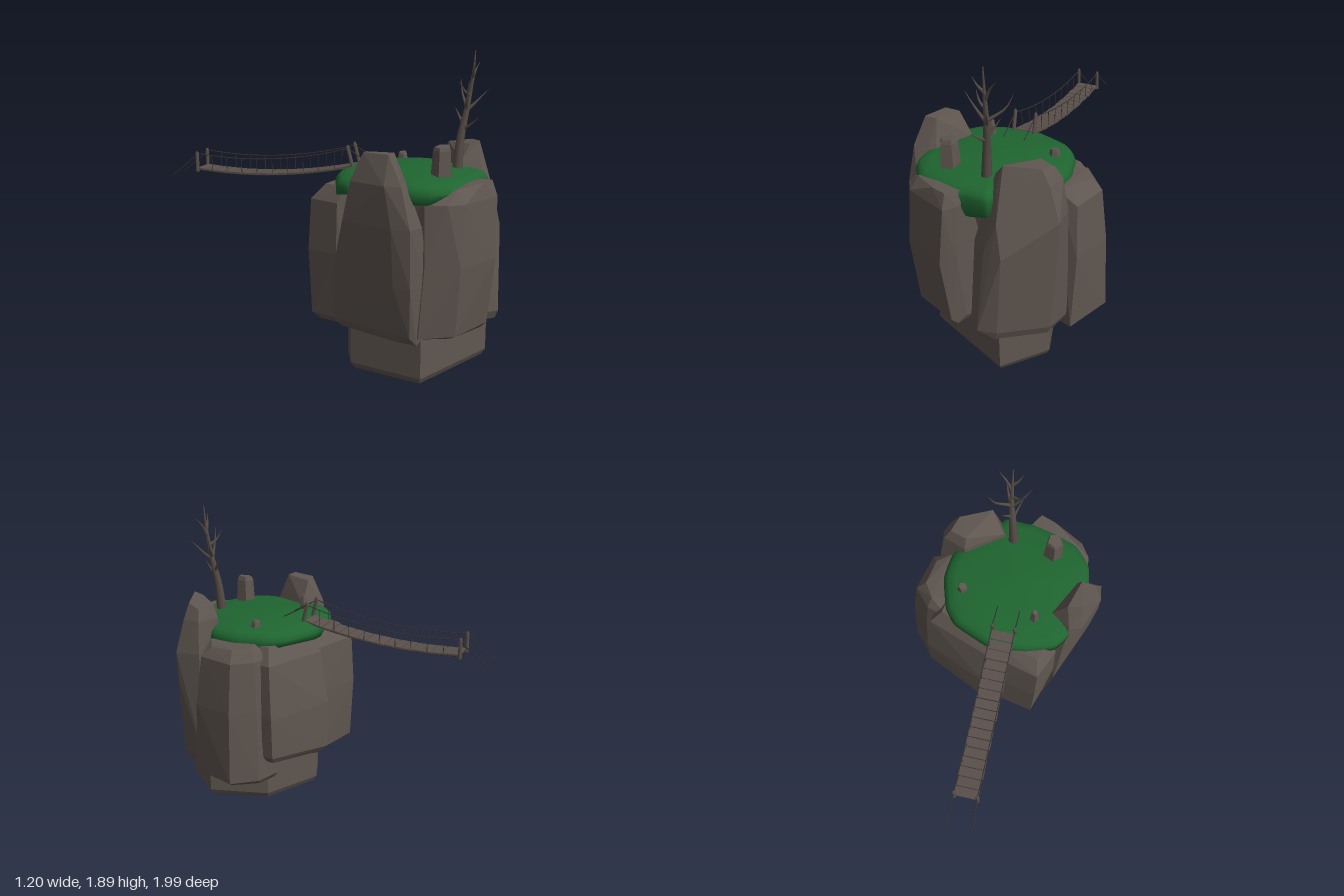
import * as THREE from 'three';
import { ConvexGeometry } from 'three/addons/geometries/ConvexGeometry.js';

const V = (x, y, z) => new THREE.Vector3(x, y, z);

export function createModel() {
  const model = new THREE.Group();
  const mat = (name, color, side = THREE.FrontSide) => {
    const m = new THREE.MeshStandardMaterial({ color, side });
    m.name = name;
    return m;
  };
  const stone = mat('stone', 0x5f5650);
  const grass = mat('grass', 0x1f6530, THREE.DoubleSide);
  const bark = mat('bark', 0x574d47);
  const wood = mat('wood', 0x5a504b);
  const rope = mat('rope', 0x3a3432);

  const add = (name, geometry, material, parent = model) => {
    const m = new THREE.Mesh(geometry, material);
    m.name = name;
    parent.add(m);
    return m;
  };

  // Faceted boulder: hull around rings of [height, [x, z, height offset], ...]
  const rock = (name, ...rings) => add(name, new ConvexGeometry(
    rings.flatMap(([y, ...pts]) => pts.map(([x, z, dy = 0]) => V(x, y + dy, z)))), stone);

  // Central plinth
  const foot = [[-0.29, 0.74], [0.34, 0.8], [0.44, 0.49], [0.2, 0.19], [-0.2, 0.15], [-0.34, 0.28]];
  rock('plinth', [0, [0.08, 0.48]],
    [0.035, ...foot.map(([x, z]) => [0.05 + (x - 0.05) * 0.95, 0.48 + (z - 0.48) * 0.94])],
    [0.07, ...foot], [0.5, ...foot]);
  rock('core', [0.4, [-0.28, 0.72], [0.32, 0.76], [0.4, 0.47], [0.2, 0.21], [-0.29, 0.25]],
    [1.14, [-0.28, 0.72], [0.24, 0.7], [0.36, 0.4], [0.25, 0.16], [-0.28, 0.18]]);

  // Cliff slabs around the plinth
  rock('frontSlab',
    [0.31, [-0.35, 0.78, 0.04], [-0.22, 0.88, 0.02], [0.1, 0.9], [0.1, 0.6], [-0.33, 0.6]],
    [0.35, [-0.38, 0.78], [-0.22, 0.92], [0.09, 0.94], [0.12, 0.85]],
    [0.75, [-0.36, 0.8], [-0.24, 0.955], [0.08, 0.99], [0.13, 0.9]],
    [1.1, [-0.34, 0.78], [-0.28, 0.89], [-0.2, 0.95], [0.11, 0.97], [0.14, 0.88]],
    [1.18, [-0.28, 0.78, -0.03], [-0.19, 0.89, -0.01], [0, 0.94, 0.01], [0.1, 0.94, 0.01], [0.13, 0.8], [-0.2, 0.65]]);
  rock('frontRightSlab',
    [0.31, [0.17, 0.83], [0.28, 0.89], [0.36, 0.85], [0.53, 0.6], [0.5, 0.44], [0.25, 0.45]],
    [0.36, [0.15, 0.84], [0.28, 0.91], [0.38, 0.85], [0.55, 0.6], [0.53, 0.43]],
    [0.85, [0.14, 0.78], [0.28, 0.84], [0.41, 0.83], [0.59, 0.57], [0.53, 0.43]],
    [1.05, [0.17, 0.7], [0.36, 0.81], [0.6, 0.57], [0.53, 0.43], [0.36, 0.44]],
    [1.25, [0.21, 0.67], [0.3, 0.745], [0.53, 0.57], [0.51, 0.45], [0.36, 0.45]],
    [1.34, [0.3, 0.67], [0.33, 0.72, 0.02], [0.48, 0.58], [0.48, 0.48, -0.02], [0.37, 0.48, -0.01]]);
  rock('backRightSlab',
    [0.25, [0.3, 0.42], [0.54, 0.42, 0.01], [0.53, 0.14, 0.02], [0.38, 0.06, 0.01], [0.24, 0.08]],
    [0.29, [0.57, 0.45], [0.56, 0.13], [0.4, 0.04], [0.24, 0.05]],
    [0.75, [0.58, 0.41], [0.55, 0.13], [0.4, 0.05], [0.24, 0.06]],
    [1.06, [0.55, 0.38], [0.52, 0.14], [0.39, 0.07], [0.25, 0.08]],
    [1.14, [0.44, 0.42], [0.5, 0.34, -0.02], [0.47, 0.18, -0.01], [0.38, 0.11], [0.25, 0.2]]);
  rock('backSlab',
    [0.4, [-0.08, -0.02, -0.04], [0.32, 0], [0.36, 0.2], [-0.1, 0.25, -0.04]],
    [0.44, [-0.1, -0.05, -0.04], [0.34, -0.02], [0.37, 0.1]],
    [0.7, [-0.11, -0.05], [0.35, -0.025], [0.37, 0.1]],
    [1.03, [-0.1, 0.01], [0.33, 0.01], [0.35, 0.12]],
    [1.13, [-0.1, 0.08], [0.28, 0.07], [0.3, 0.18], [-0.1, 0.25]]);
  rock('backLeftSlab',
    [0.32, [-0.39, 0.09], [-0.08, 0.04], [-0.06, 0.25], [-0.38, 0.3]],
    [0.36, [-0.42, 0.05], [-0.1, 0.0], [-0.02, 0.05], [-0.41, 0.3]],
    [0.75, [-0.43, 0.035], [-0.1, -0.005], [0, 0.03], [-0.44, 0.25]],
    [1.05, [-0.42, 0.05], [-0.1, 0.02], [-0.03, 0.06], [-0.43, 0.25]],
    [1.14, [-0.37, 0.12], [-0.12, 0.08], [-0.1, 0.25], [-0.38, 0.28]]);
  rock('leftSlab',
    [0.31, [-0.38, 0.77], [-0.4, 0.65], [-0.39, 0.25], [-0.25, 0.3], [-0.28, 0.75, 0.03]],
    [0.36, [-0.42, 0.75], [-0.42, 0.21], [-0.28, 0.78]],
    [0.65, [-0.45, 0.77], [-0.47, 0.67], [-0.46, 0.24], [-0.32, 0.8]],
    [0.98, [-0.46, 0.77], [-0.495, 0.67], [-0.495, 0.34], [-0.36, 0.78], [-0.35, 0.32]],
    [1.21, [-0.46, 0.71], [-0.505, 0.63], [-0.5, 0.4], [-0.44, 0.36], [-0.3, 0.39], [-0.33, 0.65]],
    [1.37, [-0.45, 0.62], [-0.46, 0.46], [-0.38, 0.42, -0.01], [-0.37, 0.6]]);

  // Grass cap: outline as x, hem height, z, drawn as nested rings
  const outline = new THREE.CatmullRomCurve3([
    [0.43, 1.1, 0.42], [0.37, 1.08, 0.6], [0.3, 1.07, 0.76], [0.28, 1.06, 0.81], [0.16, 1.04, 0.85], [0.11, 1.15, 0.87],
    [-0.05, 1.17, 0.89], [-0.2, 1.15, 0.88], [-0.32, 1.1, 0.81], [-0.38, 1.1, 0.71], [-0.39, 1.12, 0.52],
    [-0.45, 1.12, 0.35], [-0.42, 1.1, 0.24], [-0.28, 1.1, 0.12], [-0.08, 1.11, 0.035], [0.16, 1.12, 0.04],
    [0.27, 1.1, 0.1], [0.39, 1.09, 0.26]].map(p => V(...p)), true, 'catmullrom', 0.2).getPoints(72).slice(0, 72);
  const layers = [[0, 1.234], [0.5, 1.228], [0.82, 1.214], [0.93, 1.198], [0.98, 1.175], [1, 1.15], [1, null], [0.9, null]];
  const pos = [], idx = [], n = outline.length;
  layers.forEach(([s, y], r) => outline.forEach((p, i) => {
    pos.push(p.x * s, y === null ? p.y : Math.max(y, p.y + 0.005), 0.46 + (p.z - 0.46) * s);
    if (r === 0) return;
    const j = (i + 1) % n, a = (r - 1) * n + i, b = (r - 1) * n + j, c = r * n + i, d = r * n + j;
    idx.push(a, b, c, b, d, c);
  }));
  const cap = new THREE.BufferGeometry();
  cap.setAttribute('position', new THREE.Float32BufferAttribute(pos, 3));
  cap.setIndex(idx);
  cap.computeVertexNormals();
  add('grassCap', cap, grass);

  // Loose stones on the grass
  const boulder = (name, x, z, r, top, sides, taper) => {
    const ring = (y, k, tilt) => [y, ...Array.from({ length: sides }, (_, i) => {
      const a = (i + 0.3) / sides * Math.PI * 2;
      return [x + Math.cos(a) * r * k, z + Math.sin(a) * r * k, Math.cos(a) * tilt];
    })];
    rock(name, ring(1.17, 1.1, 0), ring(top - r * 0.5, 0.9 * taper, 0), ring(top - r * 0.12, 0.75 * taper, r * 0.1));
  };
  boulder('standingStone', -0.1, 0.735, 0.06, 1.39, 5, 1);
  boulder('pointedStone', -0.23, 0.305, 0.032, 1.315, 5, 0.7);
  boulder('lowStone', 0.235, 0.235, 0.035, 1.26, 6, 0.9);

  // Tube along points, thinning from r0 to r1
  const limb = (name, pts, r0, r1, material, parent, sides = 6, steps = 10) => {
    const curve = new THREE.CatmullRomCurve3(pts.map(p => V(...p)));
    const g = new THREE.TubeGeometry(curve, steps, 1, sides);
    const at = g.attributes.position, v = V(0, 0, 0);
    for (let i = 0; i < at.count; i++) {
      const t = Math.floor(i / (sides + 1)) / steps, c = curve.getPointAt(t);
      v.fromBufferAttribute(at, i).sub(c).multiplyScalar(r0 + (r1 - r0) * t).add(c);
      at.setXYZ(i, v.x, v.y, v.z);
    }
    return add(name, g, material, parent);
  };

  // Bare tree
  const tree = new THREE.Group();
  tree.name = 'tree';
  model.add(tree);
  limb('trunk', [[0.148, 1.19, 0.68], [0.165, 1.38, 0.685], [0.195, 1.56, 0.705], [0.213, 1.74, 0.727], [0.22, 1.89, 0.737]],
    0.032, 0.003, bark, tree, 8, 16);
  [[[0.19, 1.56, 0.705], [0.14, 1.65, 0.74], [0.105, 1.735, 0.77]],
    [[0.205, 1.64, 0.715], [0.15, 1.67, 0.71], [0.115, 1.725, 0.7]],
    [[0.195, 1.57, 0.705], [0.265, 1.64, 0.63], [0.295, 1.72, 0.6]],
    [[0.213, 1.74, 0.727], [0.185, 1.78, 0.75], [0.17, 1.83, 0.77]],
    [[0.21, 1.7, 0.722], [0.25, 1.77, 0.72], [0.3, 1.82, 0.72]],
    [[0.18, 1.47, 0.695], [0.2, 1.52, 0.65], [0.21, 1.56, 0.62]],
    [[0.175, 1.44, 0.69], [0.175, 1.48, 0.75], [0.17, 1.52, 0.8]],
    [[0.195, 1.55, 0.705], [0.24, 1.6, 0.74], [0.29, 1.67, 0.79]]]
    .forEach(p => limb('branch', p, 0.012, 0.001, bark, tree, 5, 6));

  // Rope bridge: s runs 0..1 along the span, side is -1 or 1 across it
  const bridge = new THREE.Group();
  bridge.name = 'ropeBridge';
  model.add(bridge);
  const start = V(-0.122, 0, 0.135), end = V(-0.468, 0, -0.81);
  const along = end.clone().sub(start).normalize();
  const across = V(-along.z, 0, along.x);
  const deckY = s => 1.215 - 0.235 * s + 0.165 * s * s;
  const railY = s => 1.325 - 0.285 * s + 0.2 * s * s;
  const spot = (s, side, y, half = 0.068) => start.clone().lerp(end, s).addScaledVector(across, side * half).setY(y);

  // Planks
  const count = 17, length = start.distanceTo(end), yaw = Math.atan2(along.x, along.z);
  for (let i = 0; i < count; i++) {
    const s = (i + 0.5) / count;
    const plank = add('plank', new THREE.BoxGeometry(0.136 + (i % 3) * 0.004, 0.011, length / count - 0.005), wood, bridge);
    plank.position.copy(spot(s, 0, deckY(s)));
    plank.rotation.set(-Math.atan((-0.235 + 0.33 * s) / length), yaw, 0, 'YXZ');
  }

  // Ropes, hangers, posts and stays on both sides
  const line = (name, pts, r, steps = 1) => limb(name, pts.map(p => p.toArray()), r, r, rope, bridge, 5, steps);
  for (const side of [-1, 1]) {
    const samples = Array.from({ length: 9 }, (_, i) => i / 8);
    line('handRope', samples.map(s => spot(s, side, railY(s))), 0.003, 20);
    line('deckRope', samples.map(s => spot(s, side, deckY(s) - 0.007, 0.06)), 0.004, 20);
    for (let i = 1; i < 10; i++) {
      const s = i / 10;
      line('hanger', [spot(s, side, deckY(s), 0.064), spot(s, side, railY(s))], 0.002);
    }
    for (const [s, lean, low, high] of [[0, 0.02, 1.17, 1.33], [1, 0, 1.125, 1.24]]) {
      const base = spot(s, side, low), head = spot(s, side, high).addScaledVector(along, lean);
      limb('post', [base.addScaledVector(along, -lean).toArray(), head.toArray()], 0.012, 0.011, wood, bridge, 7, 1);
      const knob = add('postCap', new THREE.CylinderGeometry(0.007, 0.012, 0.02, 7), wood, bridge);
      knob.position.copy(head);
      const stay = s === 0 ? spot(0, side, 1.215).addScaledVector(along, -0.165)
        : spot(1, side, 1.09, 0.075).addScaledVector(along, 0.175);
      line('stay', [head.clone().setY(high - 0.01), stay], 0.003);
    }
  }
  return model;
}
